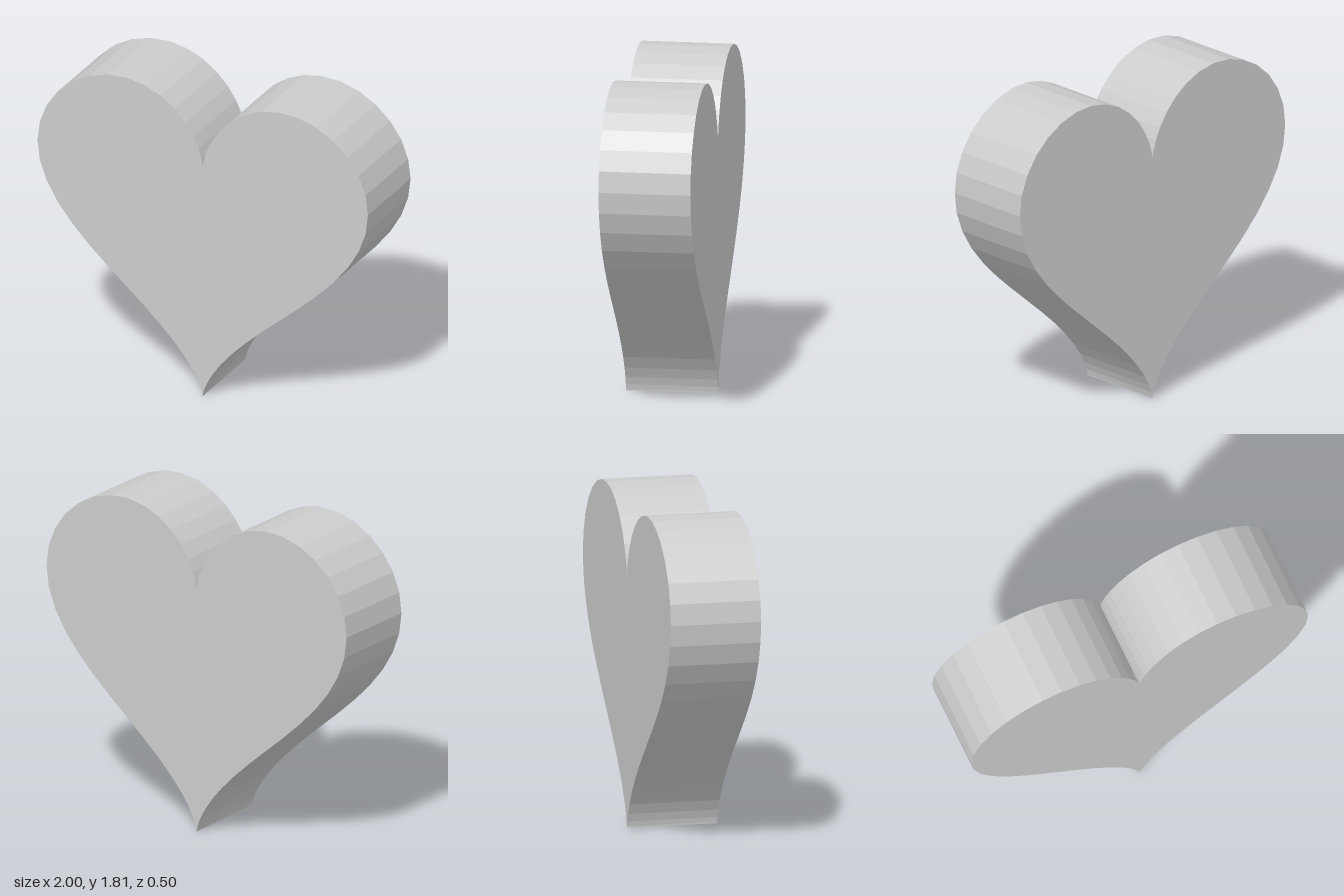
import * as THREE from 'three';

const SEGMENTS = 64;
const DEPTH = 0.5;

// Heart curve, one point per angle step, with its lower tip at y = 0
function heartShape() {
  const points = [];
  for (let i = 0; i < SEGMENTS; i++) {
    const t = (i / SEGMENTS) * Math.PI * 2;
    const x = 16 * Math.sin(t) ** 3;
    const y = 13 * Math.cos(t) - 5 * Math.cos(2 * t) - 2 * Math.cos(3 * t) - Math.cos(4 * t);
    points.push(new THREE.Vector2(x / 16, (y + 17) / 16));
  }
  return new THREE.Shape(points);
}

export function createModel() {
  const group = new THREE.Group();
  group.name = 'heartModel';

  // Thick heart plate with faceted rim and sharp edges
  const geometry = new THREE.ExtrudeGeometry(heartShape(), { depth: DEPTH, bevelEnabled: false });
  geometry.translate(0, 0, -DEPTH / 2);
  const material = new THREE.MeshStandardMaterial({ color: 0xcccccc, flatShading: true });
  const heart = new THREE.Mesh(geometry, material);
  heart.name = 'heart';
  group.add(heart);

  return group;
}
